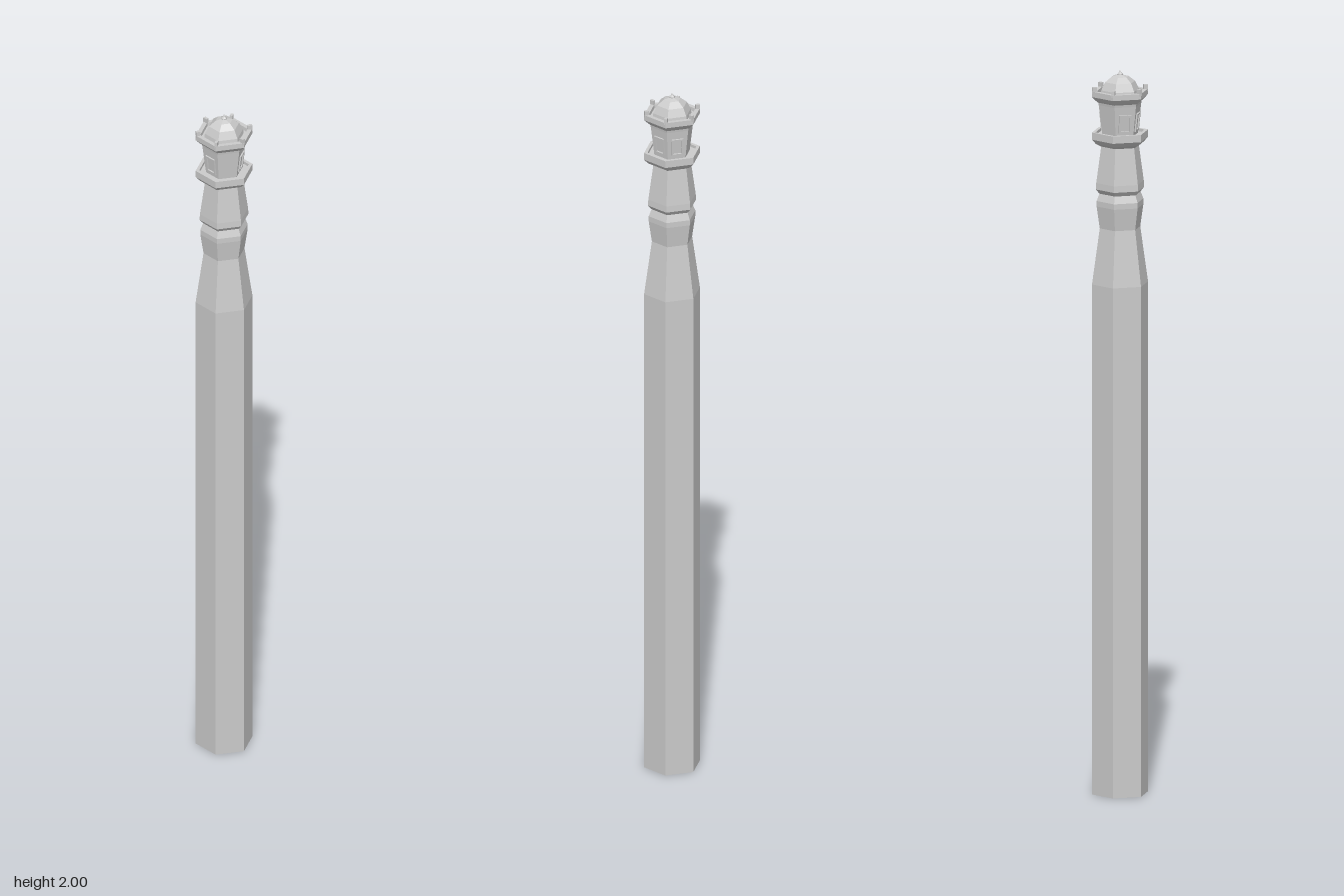
import * as THREE from 'three';

const grey = new THREE.MeshStandardMaterial({ color: 0xcccccc, flatShading: true, side: THREE.DoubleSide });

// Hexagonal turned part from [corner radius, height] pairs, bottom to top
function hexLathe(name, profile) {
  const points = profile.map(([r, y]) => new THREE.Vector2(r, y));
  const mesh = new THREE.Mesh(new THREE.LatheGeometry(points, 6), grey);
  mesh.name = name;
  return mesh;
}

// Rectangular frame with an opening, facing +z
function windowFrame() {
  const w = 0.017, h = 0.025, t = 0.005;
  const rect = (P, x, y) => new P([
    new THREE.Vector2(-x, -y), new THREE.Vector2(x, -y),
    new THREE.Vector2(x, y), new THREE.Vector2(-x, y)]);
  const shape = rect(THREE.Shape, w, h);
  shape.holes.push(rect(THREE.Path, w - t, h - t));
  const geo = new THREE.ExtrudeGeometry(shape, { depth: 0.006, bevelEnabled: false });
  return geo.translate(0, 0, -0.002);
}

export function createModel() {
  const model = new THREE.Group();
  model.name = 'lighthouseTower';

  // Open-bottomed shaft tapering into the neck
  model.add(hexLathe('shaft', [[0.079, 0], [0.079, 1.41], [0.057, 1.564]]));

  // Collar with a groove, then the upper neck
  model.add(hexLathe('collar', [[0.057, 1.564], [0.066, 1.625], [0.066, 1.64], [0.058, 1.66]]));
  model.add(hexLathe('neck', [[0.058, 1.66], [0.068, 1.672], [0.067, 1.69], [0.053, 1.79]]));

  // Lower balcony
  model.add(hexLathe('balcony', [[0.053, 1.79], [0.068, 1.798], [0.079, 1.81], [0.079, 1.83],
    [0.069, 1.83], [0.069, 1.822], [0.04, 1.822]]));

  // Lantern room, flaring upward
  model.add(hexLathe('lanternRoom', [[0.05, 1.822], [0.06, 1.905], [0.062, 1.915]]));

  // Upper gallery with a low parapet
  model.add(hexLathe('gallery', [[0.062, 1.912], [0.068, 1.917], [0.079, 1.928], [0.079, 1.943],
    [0.066, 1.943], [0.065, 1.933], [0.045, 1.933]]));

  // Dome roof and finial
  model.add(hexLathe('dome', [[0.055, 1.933], [0.053, 1.945], [0.042, 1.967], [0.024, 1.981], [0, 1.988]]));
  model.add(hexLathe('finial', [[0.008, 1.982], [0.008, 1.988], [0.004, 1.992], [0, 2]]));

  // Small posts on the parapet corners
  const postGeo = new THREE.BoxGeometry(0.008, 0.018, 0.012).translate(0, 1.946, 0.072);
  for (let i = 0; i < 6; i++) {
    const post = new THREE.Mesh(postGeo, grey);
    post.name = 'parapetPost';
    post.rotation.y = i * Math.PI / 3;
    model.add(post);
  }

  // Framed windows leaning out with the lantern walls
  const frameGeo = windowFrame().rotateX(0.105).translate(0, 1.858, 0.0472);
  for (const degrees of [90, 150, 270, 330]) {
    const frame = new THREE.Mesh(frameGeo, grey);
    frame.name = 'windowFrame';
    frame.rotation.y = THREE.MathUtils.degToRad(degrees);
    model.add(frame);
  }

  return model;
}
